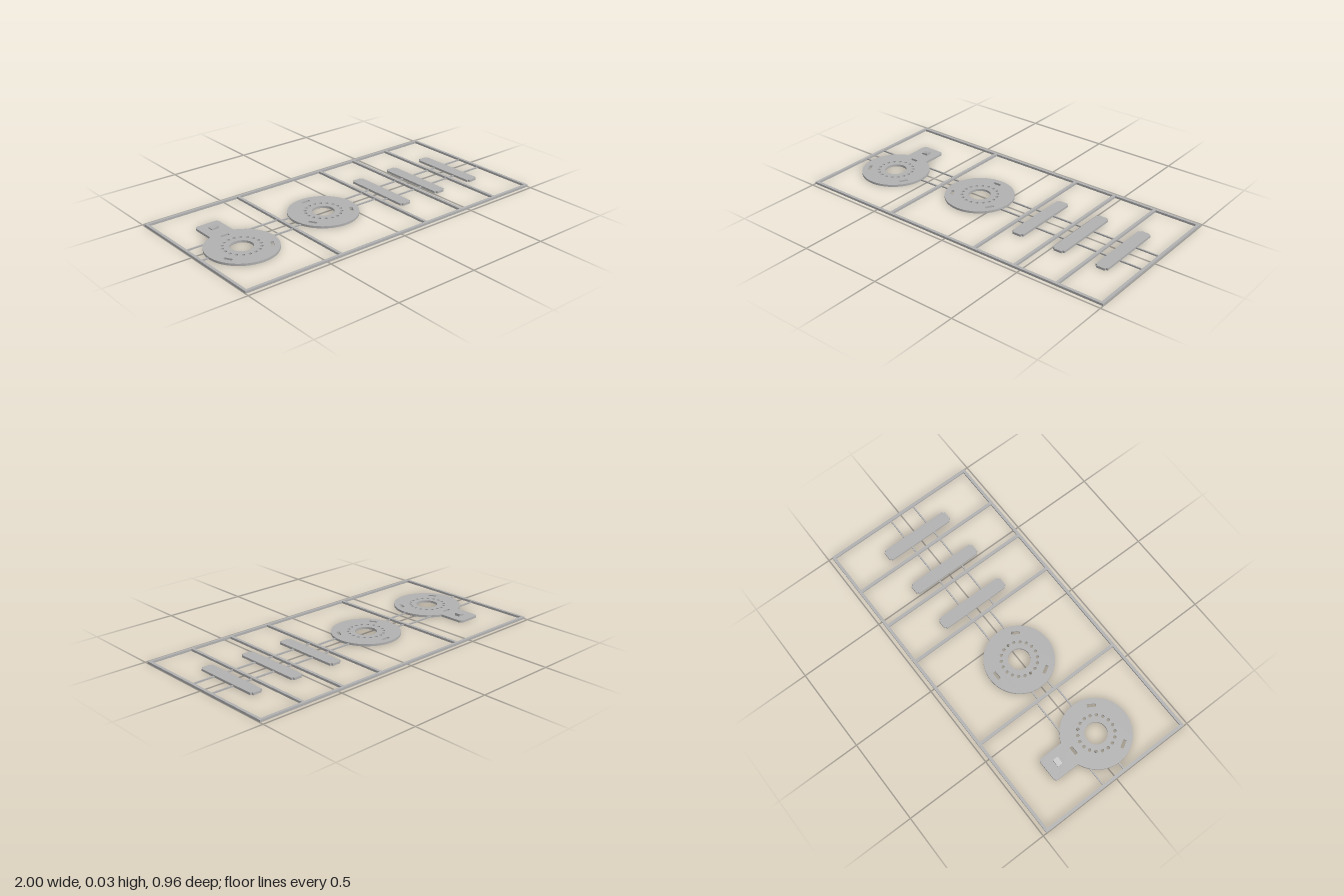
import * as THREE from 'three';

const T = 0.013; // sheet thickness

export function createModel() {
  const root = new THREE.Group();
  const grey = new THREE.MeshStandardMaterial({ color: 0xb0b0b0 });

  const add = (name, geometry, x = 0, y = 0, z = 0, parent = root) => {
    const mesh = new THREE.Mesh(geometry, grey);
    mesh.name = name;
    mesh.position.set(x, y, z);
    parent.add(mesh);
    return mesh;
  };
  // Lays a drawn plate flat: shape y becomes -z
  const plate = (shape, depth = T) =>
    new THREE.ExtrudeGeometry(shape, { depth, bevelEnabled: false, curveSegments: 32 }).rotateX(-Math.PI / 2);
  const rect = (x0, y0, x1, y1, Kind = THREE.Path) =>
    new Kind([[x0, y0], [x1, y0], [x1, y1], [x0, y1]].map(p => new THREE.Vector2(...p)));
  const circle = (x, y, r, n) => new THREE.Path(Array.from({ length: n }, (_, i) => {
    const a = (i / n) * Math.PI * 2;
    return new THREE.Vector2(x + r * Math.cos(a), y + r * Math.sin(a));
  }));

  // Outer frame with crossbars, cut as one sheet with five windows
  const w = 0.0085;
  const bars = [-1 + w, -0.404, 0.19, 0.457, 0.721, 1 - w];
  const frame = rect(-1, -0.478, 1, 0.478, THREE.Shape);
  for (let i = 0; i < bars.length - 1; i++)
    frame.holes.push(rect(bars[i] + w, -0.461, bars[i + 1] - w, 0.461));
  add('frame', plate(frame));

  // Discs with a centre bore, a ring of small holes and three slots
  const R = 0.2;
  const punch = shape => {
    shape.holes.push(circle(0, 0, 0.063, 48));
    for (let i = 0; i < 18; i++) {
      const a = (i * Math.PI) / 9;
      shape.holes.push(circle(0.102 * Math.cos(a), 0.102 * Math.sin(a), 0.0095, 12));
    }
    for (let i = 0; i < 3; i++) {
      const a = (i * Math.PI * 2) / 3;
      const corners = [[-0.025, 0.149], [0.025, 0.149], [0.025, 0.167], [-0.025, 0.167]];
      shape.holes.push(new THREE.Path(corners.map(([x, y]) =>
        new THREE.Vector2(x, y).rotateAround(new THREE.Vector2(), a))));
    }
    return shape;
  };
  const plain = new THREE.Shape();
  plain.absarc(0, 0, R, 0, Math.PI * 2);
  add('plainDisc', plate(punch(plain)), -0.152, 0, 0);

  // Disc with a rounded tab
  const h = 0.073, top = 0.34, c = 0.02, a = Math.acos(h / R);
  const tabbed = new THREE.Shape();
  tabbed.moveTo(h, R * Math.sin(a));
  tabbed.lineTo(h, top - c);
  tabbed.absarc(h - c, top - c, c, 0, Math.PI / 2);
  tabbed.absarc(-h + c, top - c, c, Math.PI / 2, Math.PI);
  tabbed.lineTo(-h, R * Math.sin(a));
  tabbed.absarc(0, 0, R, Math.PI - a, Math.PI * 2 + a);
  add('tabbedDisc', plate(punch(tabbed)), -0.742, 0, 0.07);

  // Sloped catch on the tab
  const wedge = new THREE.Shape([[-0.762, T], [-0.718, T], [-0.718, 0.028], [-0.762, 0.019]]
    .map(p => new THREE.Vector2(...p)));
  add('catch', new THREE.ExtrudeGeometry(wedge, { depth: 0.032, bevelEnabled: false }), 0, 0, -0.212);

  // Strips with narrower end tongues
  const outline = [[0.037, 0.206], [0.026, 0.206], [0.026, 0.217], [-0.026, 0.217], [-0.026, 0.206], [-0.037, 0.206]];
  const stripShape = new THREE.Shape([...outline, ...outline.map(([x, y]) => [-x, -y])]
    .map(p => new THREE.Vector2(...p)));
  const stripX = [0.278, 0.545, 0.811];
  for (const x of stripX) add('strip', plate(stripShape), x, 0, -0.003);

  // Thin runners holding each part between the crossbars
  const runners = (left, right, cx, cz, z, reach, size) => {
    for (const [x0, x1] of [[left, cx - reach], [cx + reach, right]])
      add('runner', new THREE.BoxGeometry(x1 - x0, size, size), (x0 + x1) / 2, size / 2, z);
  };
  const discReach = (z, cz) => Math.sqrt(R * R - (z - cz) ** 2) - 0.004;
  for (const z of [-0.079, 0.064]) runners(bars[0], bars[1], -0.742, 0.07, z, discReach(z, 0.07), 0.008);
  for (const z of [-0.06, 0.048]) runners(bars[1], bars[2], -0.152, 0, z, discReach(z, 0), 0.008);
  stripX.forEach((x, i) => {
    for (const z of [-0.069, 0.09]) runners(bars[i + 2], bars[i + 3], x, 0, z, 0.035, 0.008);
  });

  return root;
}
